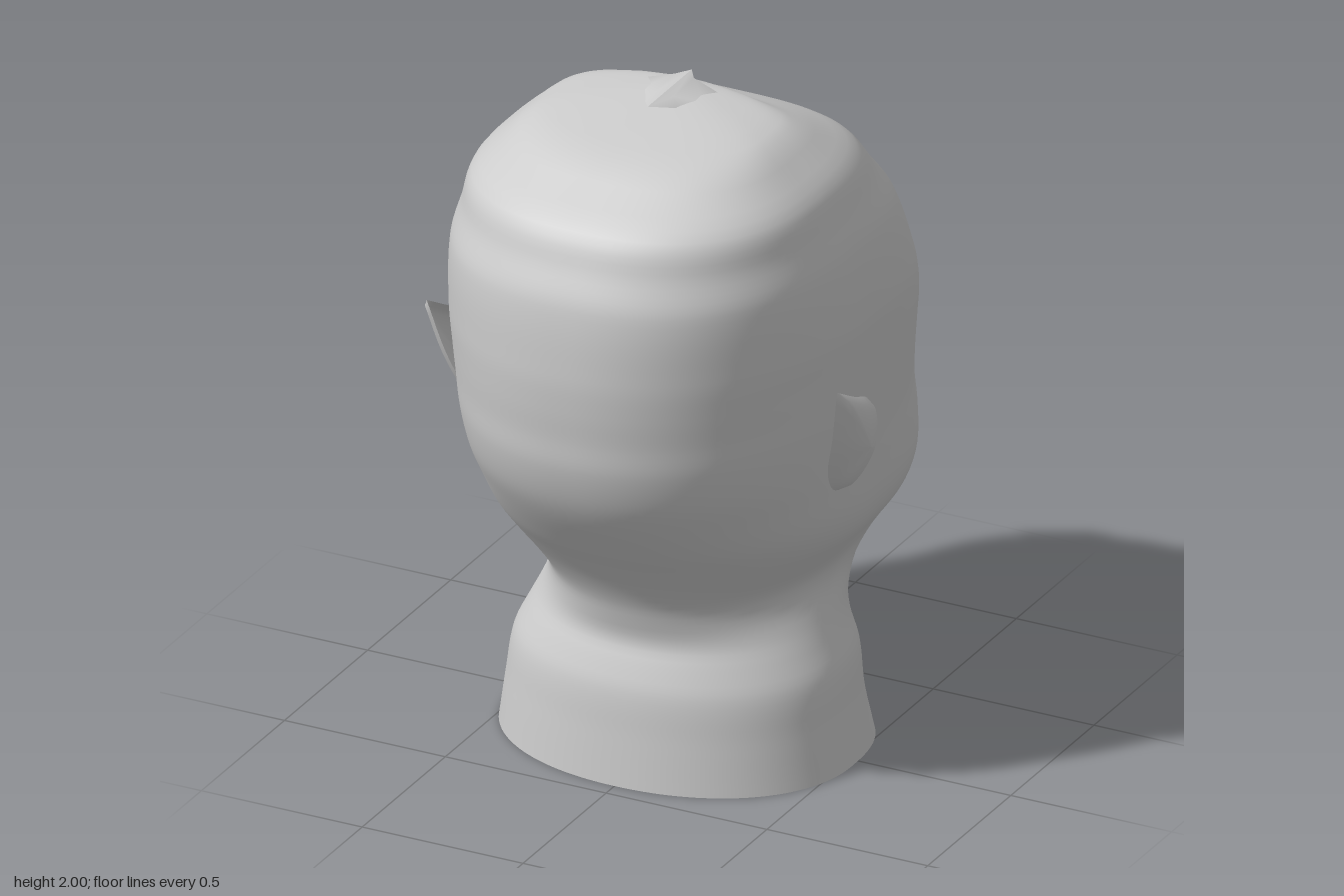
import * as THREE from 'three';

const skin = new THREE.MeshStandardMaterial({ color: 0xcccccc, side: THREE.DoubleSide });
skin.name = 'plain grey';

// Head and neck sections: height, half width, back z, face z, squareness of back, of face side
const SECTIONS = [
  [0, .525, .45, -.37, 2.1, 2.7], [.15, .5, .44, -.34, 2.1, 2.7], [.28, .48, .43, -.345, 2.1, 2.7],
  [.36, .445, .405, -.355, 2.1, 2.6], [.42, .42, .385, -.4, 2.1, 2.5], [.49, .4, .4, -.53, 2.1, 2.4],
  [.55, .41, .42, -.64, 2.1, 2.5], [.62, .455, .46, -.655, 2.1, 2.6], [.7, .51, .52, -.675, 2.1, 2.7],
  [.78, .535, .585, -.685, 2.15, 2.8], [.9, .545, .675, -.68, 2.15, 2.8], [.99, .55, .725, -.66, 2.2, 2.8],
  [1.1, .56, .76, -.645, 2.2, 2.85], [1.2, .568, .77, -.64, 2.2, 2.9], [1.29, .575, .78, -.64, 2.2, 2.9],
  [1.4, .58, .785, -.6, 2.2, 2.9], [1.6, .56, .77, -.5, 2.3, 2.9], [1.7, .53, .73, -.415, 2.3, 2.9],
  [1.8, .495, .68, -.32, 2.4, 3], [1.87, .425, .57, -.19, 2.4, 3.3], [1.93, .35, .45, -.06, 2.4, 4],
  [1.955, .27, .3, -.025, 2.6, 4], [1.975, .13, .16, -.01, 2.5, 3], [1.985, 0, .05, .05, 2, 2],
];

// Slope of value k at section i, and smooth interpolation between sections
function slope(i, k) {
  const a = SECTIONS[Math.max(i - 1, 0)], b = SECTIONS[Math.min(i + 1, SECTIONS.length - 1)];
  return (b[k] - a[k]) / (b[0] - a[0]);
}
function sectionBetween(i, t) {
  const a = SECTIONS[i], b = SECTIONS[i + 1], h = b[0] - a[0];
  return a.map((v, k) => {
    if (k === 0) return v + h * t;
    return v * (1 + 2 * t) * (1 - t) ** 2 + b[k] * t * t * (3 - 2 * t)
      + h * (slope(i, k) * t * (1 - t) ** 2 - slope(i + 1, k) * t * t * (1 - t));
  });
}

const bump = (x, y, cx, cy, rx, ry) => Math.exp(-(((x - cx) / rx) ** 2) - ((y - cy) / ry) ** 2);

// Forward displacement of the face
function faceRelief(x, y) {
  const ax = Math.abs(x);
  return .07 * bump(ax, y, 0, .9, .09, .05)
    + .06 * bump(ax, y, 0, .97, .07, .09)
    + .02 * bump(ax, y, .09, .89, .05, .04)
    - .045 * bump(ax, y, .18, 1.14, .1, .06)
    - .015 * bump(ax, y, 0, 1.17, .1, .05)
    + .012 * bump(ax, y, .22, .95, .12, .1)
    + .008 * bump(ax, y, 0, .77, .14, .05);
}

function surface(name, points, indices) {
  const g = new THREE.BufferGeometry();
  g.setAttribute('position', new THREE.Float32BufferAttribute(points.flat(), 3));
  g.setIndex(indices);
  g.computeVertexNormals();
  const mesh = new THREE.Mesh(g, skin);
  mesh.name = name;
  return mesh;
}

// Mirrored pair built from the +x half
function pair(name, points, indices) {
  const group = new THREE.Group();
  group.name = name + 's';
  const flipped = [];
  for (let i = 0; i < indices.length; i += 3) flipped.push(indices[i], indices[i + 2], indices[i + 1]);
  group.add(surface(name + 'Left', points, indices));
  group.add(surface(name + 'Right', points.map(([x, y, z]) => [-x, y, z]), flipped));
  return group;
}

// Faces joining closed rings of n points
function ringFaces(rings, n) {
  const idx = [];
  for (let r = 0; r < rings - 1; r++) {
    for (let j = 0; j < n; j++) {
      const a = r * n + j, b = r * n + (j + 1) % n;
      idx.push(a, a + n, b, b, a + n, b + n);
    }
  }
  return idx;
}

function makeHead() {
  const N = 128, rings = [], pts = [];
  for (let i = 0; i < SECTIONS.length - 1; i++) {
    const steps = Math.max(2, Math.round((SECTIONS[i + 1][0] - SECTIONS[i][0]) / .022));
    for (let k = 0; k < steps; k++) rings.push(sectionBetween(i, k / steps));
  }
  rings.push(SECTIONS[SECTIONS.length - 1]);
  for (const [y, w, back, front, nBack, nFront] of rings) {
    const mid = (back + front) / 2, half = (back - front) / 2;
    for (let j = 0; j < N; j++) {
      const a = j / N * Math.PI * 2, c = Math.cos(a), s = Math.sin(a);
      const e = 2 / (s < 0 ? nFront : nBack);
      const x = w * Math.sign(c) * Math.abs(c) ** e;
      const z = mid + half * Math.sign(s) * Math.abs(s) ** e;
      pts.push([x, y, s < 0 ? z - faceRelief(x, y) : z]);
    }
  }
  return surface('head', pts, ringFaces(rings.length, N));
}

// Pointed ear: a domed shell inside a teardrop outline
function makeEars() {
  const curve = new THREE.CatmullRomCurve3([
    [.638, 1.305, .345], [.618, 1.225, .2], [.59, 1.16, .07], [.565, 1.08, .005], [.555, .98, .01],
    [.545, .92, .06], [.54, .895, .115], [.545, .92, .19], [.56, 1.0, .25], [.6, 1.13, .3], [.638, 1.305, .345],
  ].map(p => new THREE.Vector3(...p)), false, 'centripetal');
  const M = 40, RINGS = 9, pts = [];
  const center = new THREE.Vector3(.588, 1.05, .14);
  for (let r = 0; r < RINGS; r++) {
    const t = r / (RINGS - 1);
    for (let j = 0; j < M; j++) {
      const p = curve.getPoint(j / M).lerp(center, t);
      pts.push([p.x + .052 * Math.sqrt(1 - (1 - t) ** 2), p.y, p.z]);
    }
  }
  return pair('ear', pts, ringFaces(RINGS, M));
}

// Arched eyebrow: a tapering ledge leaning off the brow
function makeBrows() {
  const top = new THREE.CatmullRomCurve3([
    [.075, 1.285, -.65], [.14, 1.325, -.645], [.21, 1.325, -.635], [.28, 1.285, -.62], [.34, 1.225, -.63],
  ].map(p => new THREE.Vector3(...p)));
  const low = new THREE.CatmullRomCurve3([
    [.075, 1.235, -.7], [.14, 1.27, -.703], [.21, 1.275, -.69], [.28, 1.25, -.662], [.34, 1.222, -.633],
  ].map(p => new THREE.Vector3(...p)));
  const S = 16, pts = [], idx = [];
  for (let i = 0; i <= S; i++) {
    const a = top.getPoint(i / S), b = low.getPoint(i / S);
    const m = a.clone().lerp(b, .5);
    m.z -= .015 * (1 - i / S);
    m.y += .008;
    pts.push(a.toArray(), m.toArray(), b.toArray());
  }
  for (let i = 0; i < S; i++) {
    for (let k = 0; k < 2; k++) {
      const a = i * 3 + k;
      idx.push(a, a + 3, a + 1, a + 1, a + 3, a + 4);
    }
  }
  return pair('eyebrow', pts, idx);
}

// Tiny dots in the eye hollows
function makeEyeDots() {
  const group = new THREE.Group();
  group.name = 'eyeDots';
  for (const side of [-1, 1]) {
    const dot = new THREE.Mesh(new THREE.SphereGeometry(.012, 10, 8), skin);
    dot.name = 'eyeDot';
    dot.scale.set(1.3, .7, .6);
    dot.position.set(side * .18, 1.145, -.592);
    group.add(dot);
  }
  return group;
}

// Small swept tuft on the crown: raised spine with two sloping wings
function makeTuft() {
  return pair('crownTuft', [
    [0, 2, -.015], [.03, 2, .03], [.03, 1.995, .15], [0, 2, .25],
    [.13, 1.97, .04], [.1, 1.97, .1], [.05, 1.972, .17], [0, 1.96, -.02],
  ], [0, 2, 1, 0, 3, 2, 1, 5, 4, 1, 2, 5, 2, 6, 5, 2, 3, 6, 0, 1, 7, 1, 4, 7]);
}

export function createModel() {
  const model = new THREE.Group();
  model.name = 'headBust';
  model.add(makeHead(), makeEars(), makeBrows(), makeEyeDots(), makeTuft());
  return model;
}
